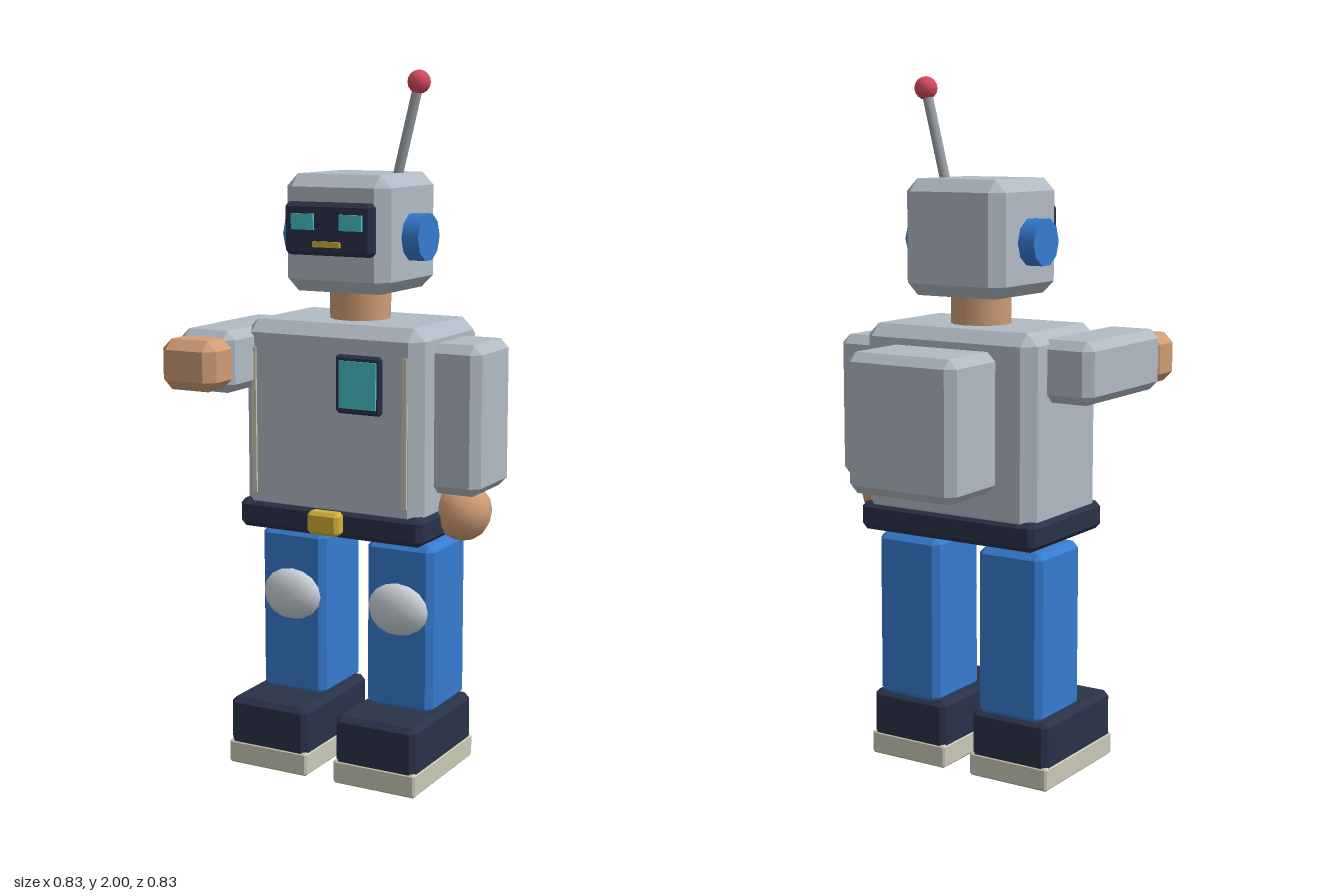
import * as THREE from 'three';
import { ConvexGeometry } from 'three/addons/geometries/ConvexGeometry.js';

const mat = (name, color) => {
  const m = new THREE.MeshStandardMaterial({ color });
  m.name = name;
  return m;
};

export function createModel() {
  const grey = mat('bodyGrey', 0xb1bac4);
  const blue = mat('blue', 0x357bd0);
  const navy = mat('navy', 0x2a3248);
  const skin = mat('tan', 0xcf9c74);
  const red = mat('red', 0xd94a5e);
  const cyan = mat('cyan', 0x48bec8);
  const gold = mat('gold', 0xd1ae35);
  const cream = mat('cream', 0xcac9b6);
  const pale = mat('paleGrey', 0xc9cfd5);
  const steel = mat('steel', 0x9ba2a8);

  const robot = new THREE.Group();
  robot.name = 'robot';

  const add = (name, geometry, material, x = 0, y = 0, z = 0) => {
    const mesh = new THREE.Mesh(geometry, material);
    mesh.name = name;
    mesh.position.set(x, y, z);
    robot.add(mesh);
    return mesh;
  };

  // Box with flat chamfers of width c, given by its extents
  const block = (name, material, [x0, x1], [y0, y1], [z0, z1], c) => {
    const h = [(x1 - x0) / 2, (y1 - y0) / 2, (z1 - z0) / 2];
    const points = [];
    for (const sx of [-1, 1]) for (const sy of [-1, 1]) for (const sz of [-1, 1])
      for (let axis = 0; axis < 3; axis++) {
        const p = h.map((v, i) => (i === axis ? v : v - c));
        points.push(new THREE.Vector3(p[0] * sx, p[1] * sy, p[2] * sz));
      }
    return add(name, new ConvexGeometry(points), material, (x0 + x1) / 2, (y0 + y1) / 2, (z0 + z1) / 2);
  };

  const plate = (name, material, [x0, x1], [y0, y1], [z0, z1]) =>
    add(name, new THREE.BoxGeometry(x1 - x0, y1 - y0, z1 - z0), material,
      (x0 + x1) / 2, (y0 + y1) / 2, (z0 + z1) / 2);

  // Torso, backpack and belt
  block('torso', grey, [-0.283, 0.283], [0.75, 1.307], [-0.19, 0.19], 0.035);
  block('backpack', grey, [-0.178, 0.178], [0.862, 1.255], [-0.418, -0.18], 0.025);
  block('belt', navy, [-0.293, 0.293], [0.705, 0.787], [-0.196, 0.198], 0.015);
  block('buckle', gold, [-0.05, 0.05], [0.715, 0.782], [0.185, 0.232], 0.01);

  // Chest screen and seams
  block('screenFrame', navy, [0.027, 0.17], [1.063, 1.228], [0.18, 0.201], 0.008);
  plate('chestScreen', cyan, [0.042, 0.157], [1.08, 1.212], [0.199, 0.207]);
  for (const s of [-1, 1])
    plate('chestSeam', cream, [s * 0.24 - 0.007, s * 0.24 + 0.007], [0.81, 1.23], [0.187, 0.196]);

  // Neck and head
  add('neck', new THREE.CylinderGeometry(0.087, 0.087, 0.15, 12), skin, 0, 1.35, 0);
  block('head', grey, [-0.164, 0.164], [1.39, 1.717], [-0.165, 0.163], 0.035);
  block('visor', navy, [-0.138, 0.138], [1.496, 1.642], [0.155, 0.194], 0.012);
  for (const s of [-1, 1]) {
    plate('eye', cyan, [s * 0.075 - 0.035, s * 0.075 + 0.035], [1.567, 1.611], [0.193, 0.202]);
    const ear = add('ear', new THREE.CylinderGeometry(0.068, 0.068, 0.06, 10), blue, s * 0.185, 1.543, 0);
    ear.rotation.z = Math.PI / 2;
  }
  plate('mouth', gold, [-0.042, 0.042], [1.52, 1.536], [0.193, 0.202]);

  // Antenna
  const from = new THREE.Vector3(0.097, 1.69, -0.03);
  const to = new THREE.Vector3(0.167, 1.967, -0.03);
  const rod = add('antennaRod', new THREE.CylinderGeometry(0.015, 0.015, from.distanceTo(to), 8), steel);
  rod.position.lerpVectors(from, to, 0.5);
  rod.quaternion.setFromUnitVectors(new THREE.Vector3(0, 1, 0), to.clone().sub(from).normalize());
  add('antennaBall', new THREE.SphereGeometry(0.033, 10, 8), red, to.x, to.y, to.z);

  // Hanging left arm with ball hand
  block('leftArm', grey, [0.24, 0.415], [0.838, 1.26], [-0.13, 0.097], 0.025);
  add('leftHand', new THREE.SphereGeometry(0.084, 10, 8), skin, 0.33, 0.778, 0.004);

  // Right arm held straight forward
  block('rightArm', grey, [-0.417, -0.24], [1.11, 1.285], [-0.105, 0.317], 0.025);
  block('rightHand', skin, [-0.416, -0.241], [1.125, 1.267], [0.28, 0.414], 0.028);

  // Legs, knee pads, shoes and soles
  for (const s of [-1, 1]) {
    const span = (half) => [s * 0.174 - half, s * 0.174 + half];
    block('leg', blue, span(0.105), [0.19, 0.685], [-0.13, 0.1], 0.018);
    const knee = add('kneePad', new THREE.SphereGeometry(1, 10, 8), pale, s * 0.174, 0.493, 0.1);
    knee.scale.set(0.095, 0.076, 0.046);
    block('shoe', navy, span(0.127), [0, 0.2], [-0.13, 0.248], 0.015);
    block('sole', cream, span(0.13), [0.001, 0.07], [-0.133, 0.251], 0.006);
  }
  return robot;
}
